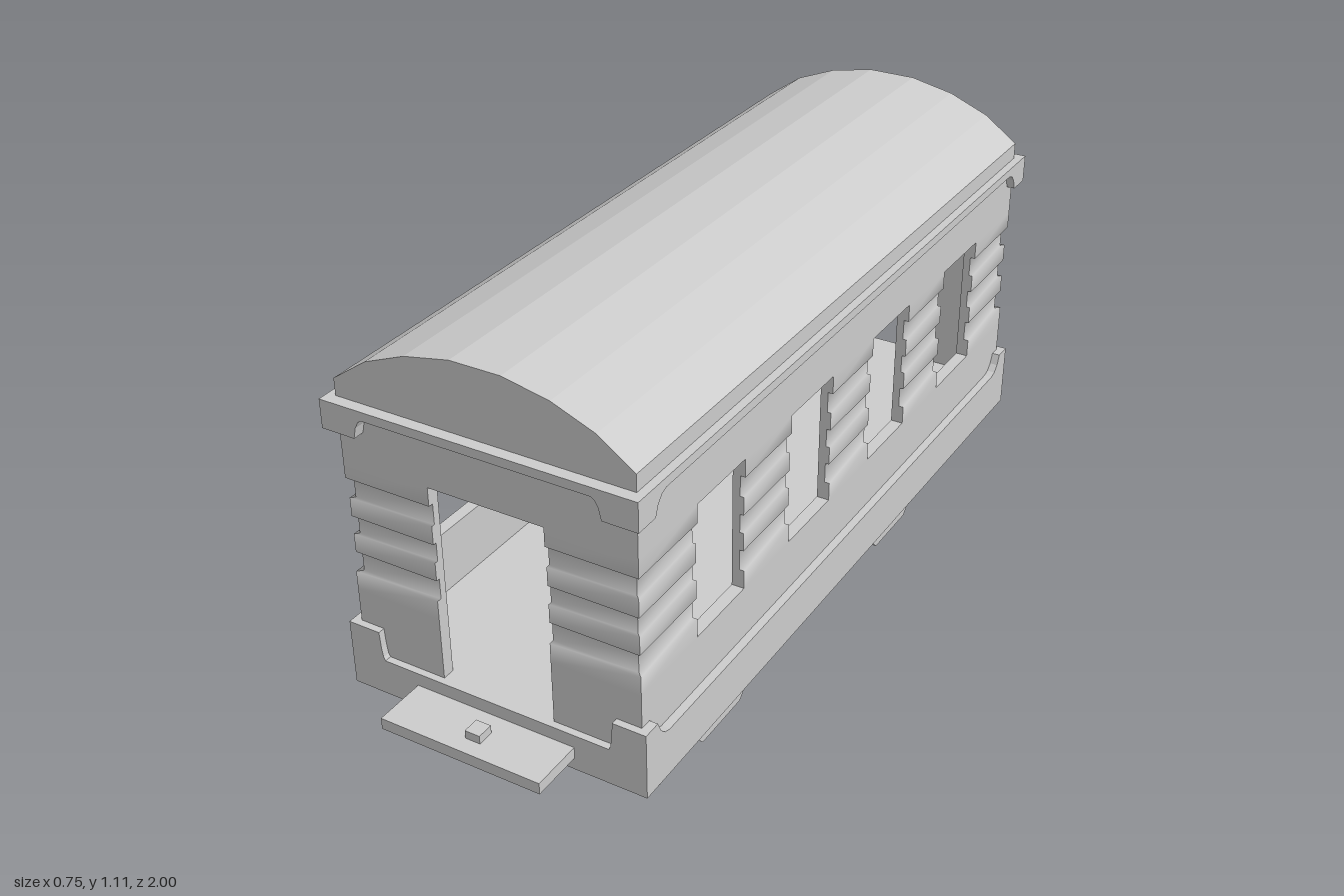
import * as THREE from 'three';

const mat = new THREE.MeshStandardMaterial({ color: 0xcccccc, flatShading: true });
const smoothMat = new THREE.MeshStandardMaterial({ color: 0xcccccc });

// Half sizes of the body walls, wall thickness and openings
const X = 0.355, Z = 0.9135, T = 0.03;
const SILL = 0.475, HEAD = 0.8, FLOOR = 0.32, EAVE = 0.95;
const DOOR = 0.14, WIN = 0.0975, PITCH = 0.398;

// Wall relief: [height, outward offset]
const G = -0.012, R = -0.003;
const profile = [
  [0.3, 0], [SILL, 0], [0.52, 0], [0.52, G], [0.57, G], [0.57, R], [0.615, R], [0.615, G],
  [0.66, G], [0.66, R], [0.705, R], [0.705, G], [0.755, G], [0.755, 0], [HEAD, 0], [EAVE, 0],
];

function add(parent, name, geometry, x = 0, y = 0, z = 0, material = mat) {
  const mesh = new THREE.Mesh(geometry, material);
  mesh.name = name;
  mesh.position.set(x, y, z);
  parent.add(mesh);
  return mesh;
}

function box(parent, name, x0, x1, y0, y1, z0, z1) {
  return add(parent, name, new THREE.BoxGeometry(x1 - x0, y1 - y0, z1 - z0),
    (x0 + x1) / 2, (y0 + y1) / 2, (z0 + z1) / 2);
}

// Outline extruded symmetrically about its own plane
function slab(points, depth) {
  const shape = new THREE.Shape(points.map(([u, v]) => new THREE.Vector2(u, v)));
  return new THREE.ExtrudeGeometry(shape, { depth, bevelEnabled: false }).translate(0, 0, -depth / 2);
}

// Upright pier: a footprint swept up the relief, smooth along y and sharp at corners
function pier(footprint, flip) {
  const loops = profile.map(([y, d]) => {
    const loop = footprint(d).map(([x, z]) => [x, y, z]);
    return flip ? loop.reverse() : loop;
  });
  const pos = [], index = [], n = loops[0].length;
  for (let e = 0; e < n; e++) {
    const start = pos.length / 3;
    loops.forEach((loop, i) => {
      pos.push(...loop[e], ...loop[(e + 1) % n]);
      const a = start + i * 2;
      if (i) index.push(a - 2, a - 1, a + 1, a - 2, a + 1, a);
    });
  }
  const geo = new THREE.BufferGeometry();
  geo.setAttribute('position', new THREE.Float32BufferAttribute(pos, 3));
  geo.setIndex(index);
  geo.computeVertexNormals();
  return geo;
}

// Band whose edge at height mid steps out to tip at both ends
function band(half, base, mid, tip, inner, outer, depth) {
  const m = (inner + outer) / 2 - 0.25 * (outer - inner);
  const right = [
    [half, base], [half, tip], [half - inner, tip],
    [half - m, tip + (mid - tip) * 0.55], [half - outer + (outer - inner) * 0.4, tip + (mid - tip) * 0.88],
    [half - outer, mid],
  ];
  const left = right.map(([u, v]) => [-u, v]).reverse();
  return slab([...right, ...left], depth);
}

function createBody() {
  const body = new THREE.Group();
  body.name = 'body';
  const wz = 1.5 * PITCH + WIN;

  // L-shaped corner posts
  for (const sx of [-1, 1]) for (const sz of [-1, 1]) {
    add(body, 'cornerPost', pier((d) => [
      [DOOR, Z + d], [X + d, Z + d], [X + d, wz], [X - T, wz], [X - T, Z - T], [DOOR, Z - T],
    ].map(([x, z]) => [x * sx, z * sz]), sx * sz < 0), 0, 0, 0, smoothMat);
  }

  for (const s of [-1, 1]) {
    const [xa, xb] = s > 0 ? [X - T, X] : [-X, T - X];
    const [za, zb] = s > 0 ? [Z - T, Z] : [-Z, T - Z];

    // Piers between the windows
    for (const k of [-1, 0, 1]) {
      const c = k * PITCH, h = PITCH / 2 - WIN;
      add(body, 'windowPier', pier((d) => [
        [s * (X + d), c + h], [s * (X + d), c - h], [s * (X - T), c - h], [s * (X - T), c + h],
      ], s < 0), 0, 0, 0, smoothMat);
    }
    // Panels under and over each window
    for (const k of [-1.5, -0.5, 0.5, 1.5]) {
      const c = k * PITCH;
      box(body, 'windowSill', xa, xb, 0.3, SILL, c - WIN, c + WIN);
      box(body, 'windowHeader', xa, xb, HEAD, EAVE, c - WIN, c + WIN);
    }
    box(body, 'doorHeader', -DOOR, DOOR, HEAD, EAVE, za, zb);

    // Skirt and eave trim with stepped corners
    add(body, 'sideSkirt', band(0.9305, 0.23, 0.346, 0.392, 0.045, 0.09, 0.03), s * 0.36).rotation.y = -Math.PI / 2;
    add(body, 'endSkirt', band(0.375, 0.23, FLOOR, 0.392, 0.08, 0.09, 0.03), 0, 0, s * (0.9305 - 0.015));
    add(body, 'sideEaveTrim', band(0.941, EAVE, 0.929, 0.882, 0.06, 0.1, 0.03), s * 0.36).rotation.y = -Math.PI / 2;
    add(body, 'endEaveTrim', band(0.375, EAVE, 0.929, 0.882, 0.082, 0.105, 0.036), 0, 0, s * (0.941 - 0.018));
  }

  box(body, 'floor', -0.36, 0.36, 0.23, FLOOR, -0.92, 0.92);

  // Faceted arched roof
  const half = [[0.355, EAVE - 0.001], [0.355, 0.99], [0.27, 1.05], [0.17, 1.09], [0.06, 1.112]];
  add(body, 'roof', slab([...half, ...half.map(([x, y]) => [-x, y]).reverse()], 2 * Z));
  return body;
}

function createBogie() {
  const bogie = new THREE.Group();
  bogie.name = 'bogie';
  // Solid side frame
  const half = [[0.085, 0.048], [0.18, 0.144], [0.23, 0.144], [0.255, 0.107], [0.255, 0.13], [0.215, 0.171]];
  const frame = slab([...half, ...half.map(([u, v]) => [-u, v]).reverse()], 0.152);
  add(bogie, 'bogieFrame', frame).rotation.y = -Math.PI / 2;
  box(bogie, 'bolster', -0.026, 0.026, 0.16, 0.235, -0.082, 0.082);
  // Octagonal wheels
  for (const s of [-1, 1]) {
    const wheel = new THREE.CylinderGeometry(0.107, 0.107, 0.075, 8).rotateZ(Math.PI / 2);
    add(bogie, 'wheel', wheel, 0, 0.107, s * 0.2085);
  }
  return bogie;
}

export function createModel() {
  const model = new THREE.Group();
  model.name = 'railwayCarriage';

  const body = createBody();
  body.position.z = -0.0565;
  model.add(body);

  for (const x of [-0.185, 0.202]) for (const z of [0.4, -0.497]) {
    const bogie = createBogie();
    bogie.position.set(x, 0, z);
    model.add(bogie);
  }

  // Front coupling
  box(model, 'couplingPlate', -0.2, 0.2, 0.26, 0.288, 0.86, 1);
  box(model, 'couplingPin', -0.01, 0.027, 0.22, 0.308, 0.922, 0.962);
  return model;
}
